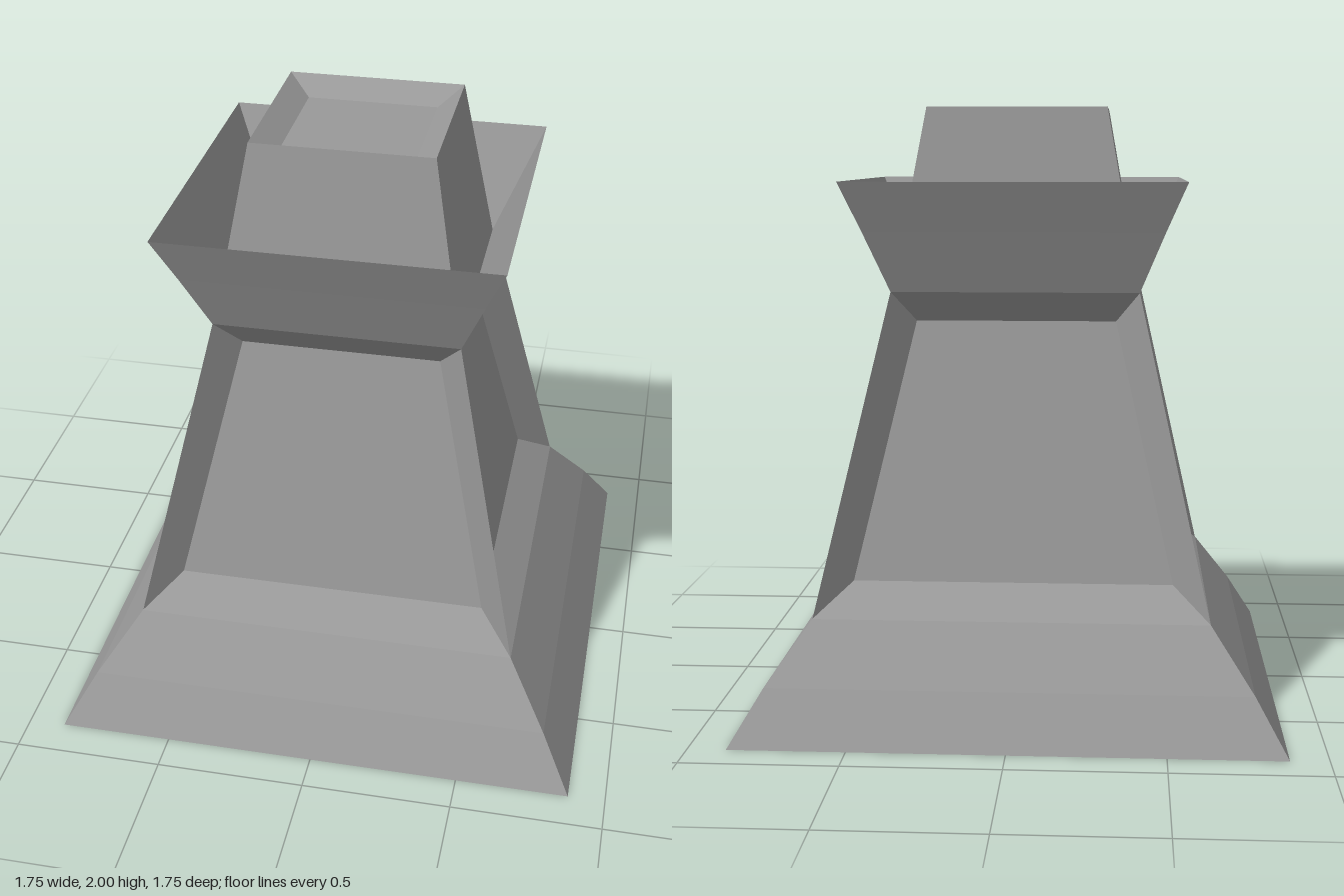
import * as THREE from 'three';

const stone = new THREE.MeshStandardMaterial({ color: 0x999999, flatShading: true, side: THREE.DoubleSide });
stone.name = 'grey stone';

// Square-plan solid swept from a profile of [half width, height] points, listed bottom to top
function squareLathe(name, profile) {
  const points = profile.map(([w, y]) => new THREE.Vector2(w * Math.SQRT2, y));
  const geometry = new THREE.LatheGeometry(points, 4, Math.PI / 4).toNonIndexed();
  geometry.computeVertexNormals();
  const mesh = new THREE.Mesh(geometry, stone);
  mesh.name = name;
  return mesh;
}

// Thin diagonal fin running down one corner, from the panel edge out to the ledges
function cornerFin(sx, sz) {
  const outline = [[0.52, 0.46], [0.64, 0.36], [0.407, 1.4], [0.33, 1.3]];
  const geometry = new THREE.BufferGeometry();
  const position = outline.flatMap(([w, y]) => [w * sx, y, w * sz]);
  geometry.setAttribute('position', new THREE.Float32BufferAttribute(position, 3));
  geometry.setIndex([0, 1, 2, 0, 2, 3]);
  geometry.computeVertexNormals();
  const mesh = new THREE.Mesh(geometry, stone);
  mesh.name = 'cornerFin';
  return mesh;
}

export function createModel() {
  const model = new THREE.Group();
  model.name = 'squareTower';

  // Flared foot with a closed underside
  model.add(squareLathe('base', [[0, 0], [0.877, 0], [0.776, 0.17], [0.641, 0.36], [0.522, 0.46]]));

  // Recessed sloping walls
  model.add(squareLathe('wallPanels', [[0.522, 0.46], [0.33, 1.3]]));

  // Fins along the four corners
  for (const sx of [-1, 1]) for (const sz of [-1, 1]) model.add(cornerFin(sx, sz));

  // Flared collar, hollow on top
  model.add(squareLathe('collar', [[0.33, 1.3], [0.407, 1.4], [0.488, 1.6], [0.556, 1.76], [0.4, 1.42]]));

  // Tapered cap with a shallow sunken top
  model.add(squareLathe('cap', [[0.4, 1.42], [0.297, 2], [0.219, 1.945], [0, 1.945]]));

  return model;
}
